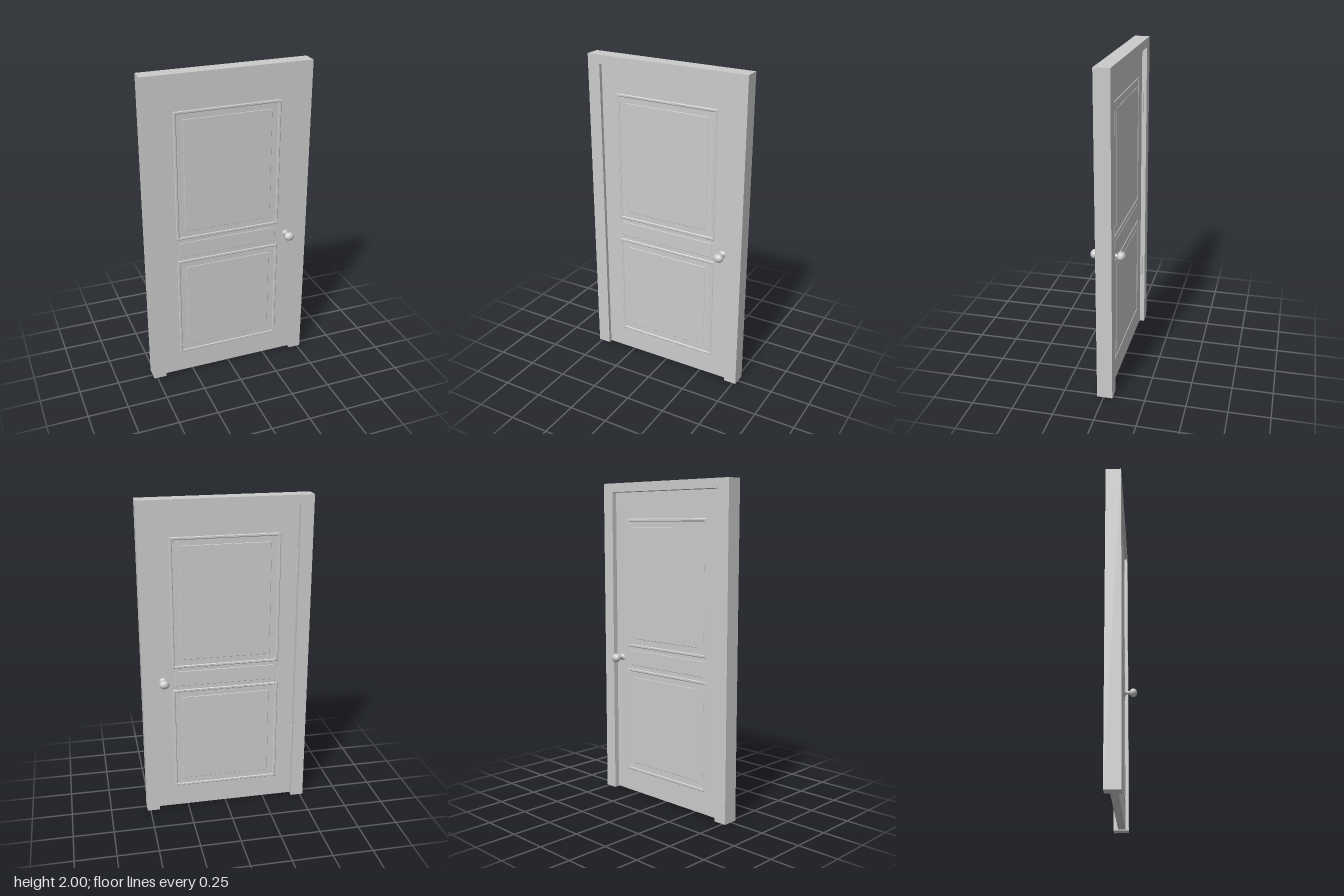
import * as THREE from 'three';

const material = new THREE.MeshStandardMaterial({ color: 0xcccccc });

// Main dimensions
const FRAME_FRONT = 0.04, FRAME_BACK = -0.055;
const SLAB_MID = -0.0025, SLAB_HALF = 0.0225;
const KNOB_X = 0.39, KNOB_Y = 0.89;

function addMesh(parent, name, geometry, x = 0, y = 0, z = 0) {
  const mesh = new THREE.Mesh(geometry, material);
  mesh.name = name;
  mesh.position.set(x, y, z);
  parent.add(mesh);
  return mesh;
}

function rectPoints(x0, x1, y0, y1) {
  return [[x0, y0], [x1, y0], [x1, y1], [x0, y1]].map(([x, y]) => new THREE.Vector2(x, y));
}

// Rectangle with chamfered front edges, its back on z = 0
function raisedRect(halfWidth, y0, y1, height, chamfer, rim = 0) {
  const c = chamfer;
  const shape = new THREE.Shape(rectPoints(-halfWidth + c, halfWidth - c, y0 + c, y1 - c));
  if (rim) {
    const w = halfWidth - rim + c;
    shape.holes.push(new THREE.Path(rectPoints(-w, w, y0 + rim - c, y1 - rim + c).reverse()));
  }
  const geometry = new THREE.ExtrudeGeometry(shape, {
    depth: height, bevelEnabled: true, bevelSegments: 1, bevelSize: c, bevelThickness: c,
  });
  // the rear chamfer sinks into the slab
  return geometry.translate(0, 0, -c);
}

// Turned knob with rose and neck, pointing along +z
function knobGeometry() {
  const points = [[0.024, 0], [0.024, 0.004], [0.016, 0.007], [0.013, 0.012], [0.013, 0.034]]
    .map(([r, z]) => new THREE.Vector2(r, z));
  const mid = 0.056, rx = 0.032, rz = 0.026, steps = 9;
  for (let i = 0; i <= steps; i++) {
    const a = THREE.MathUtils.lerp(-1.14, Math.PI / 2, i / steps);
    points.push(new THREE.Vector2(Math.max(0, rx * Math.cos(a)), mid + rz * Math.sin(a)));
  }
  return new THREE.LatheGeometry(points, 20).rotateX(Math.PI / 2).scale(1, 0.88, 1);
}

// Panel trim, rail strip and knob on one side of the slab
function buildFace(name, knobX) {
  const face = new THREE.Group();
  face.name = name;
  for (const [label, y0, y1] of [['upper', 0.965, 1.78], ['lower', 0.145, 0.825]]) {
    addMesh(face, label + 'PanelMoulding', raisedRect(0.335, y0, y1, 0.004, 0.005, 0.02));
    addMesh(face, label + 'PanelField', raisedRect(0.28, y0 + 0.052, y1 - 0.05, 0.002, 0.005));
  }
  addMesh(face, 'middleRailStrip', raisedRect(0.32, 0.845, 0.948, 0.002, 0.005));
  addMesh(face, 'knob', knobGeometry(), knobX, KNOB_Y, 0);
  return face;
}

export function createModel() {
  const model = new THREE.Group();
  model.name = 'panelDoor';

  // Frame: two jambs and a head, open at the bottom
  const outline = [[-0.52, 0], [-0.44, 0], [-0.44, 1.945], [0.44, 1.945], [0.44, 0], [0.52, 0], [0.52, 2], [-0.52, 2]];
  const frame = new THREE.ExtrudeGeometry(
    new THREE.Shape(outline.map(([x, y]) => new THREE.Vector2(x, y))),
    { depth: FRAME_FRONT - FRAME_BACK, bevelEnabled: false });
  addMesh(model, 'doorFrame', frame, 0, 0, FRAME_BACK);

  // Door leaf with a thin gap all round
  const leaf = new THREE.Group();
  leaf.name = 'doorLeaf';
  model.add(leaf);
  const bottom = 0.006, top = 1.942;
  addMesh(leaf, 'slab', new THREE.BoxGeometry(0.876, top - bottom, SLAB_HALF * 2),
    0, (top + bottom) / 2, SLAB_MID);

  const front = buildFace('frontFace', KNOB_X);
  front.position.z = SLAB_MID + SLAB_HALF;
  const back = buildFace('backFace', -KNOB_X);
  back.rotation.y = Math.PI;
  back.position.z = SLAB_MID - SLAB_HALF;
  leaf.add(front, back);

  // Hinges on the rear of the right jamb
  for (const y of [0.445, 1.595]) {
    const hinge = new THREE.Group();
    hinge.name = 'hinge';
    hinge.position.set(-0.438, y, SLAB_MID - SLAB_HALF);
    addMesh(hinge, 'hingeBarrel', new THREE.CylinderGeometry(0.008, 0.008, 0.135, 12), 0.003, 0, -0.007);
    addMesh(hinge, 'hingeLeaf', new THREE.BoxGeometry(0.002, 0.13, 0.03), 0, 0, 0.005);
    model.add(hinge);
  }
  return model;
}
